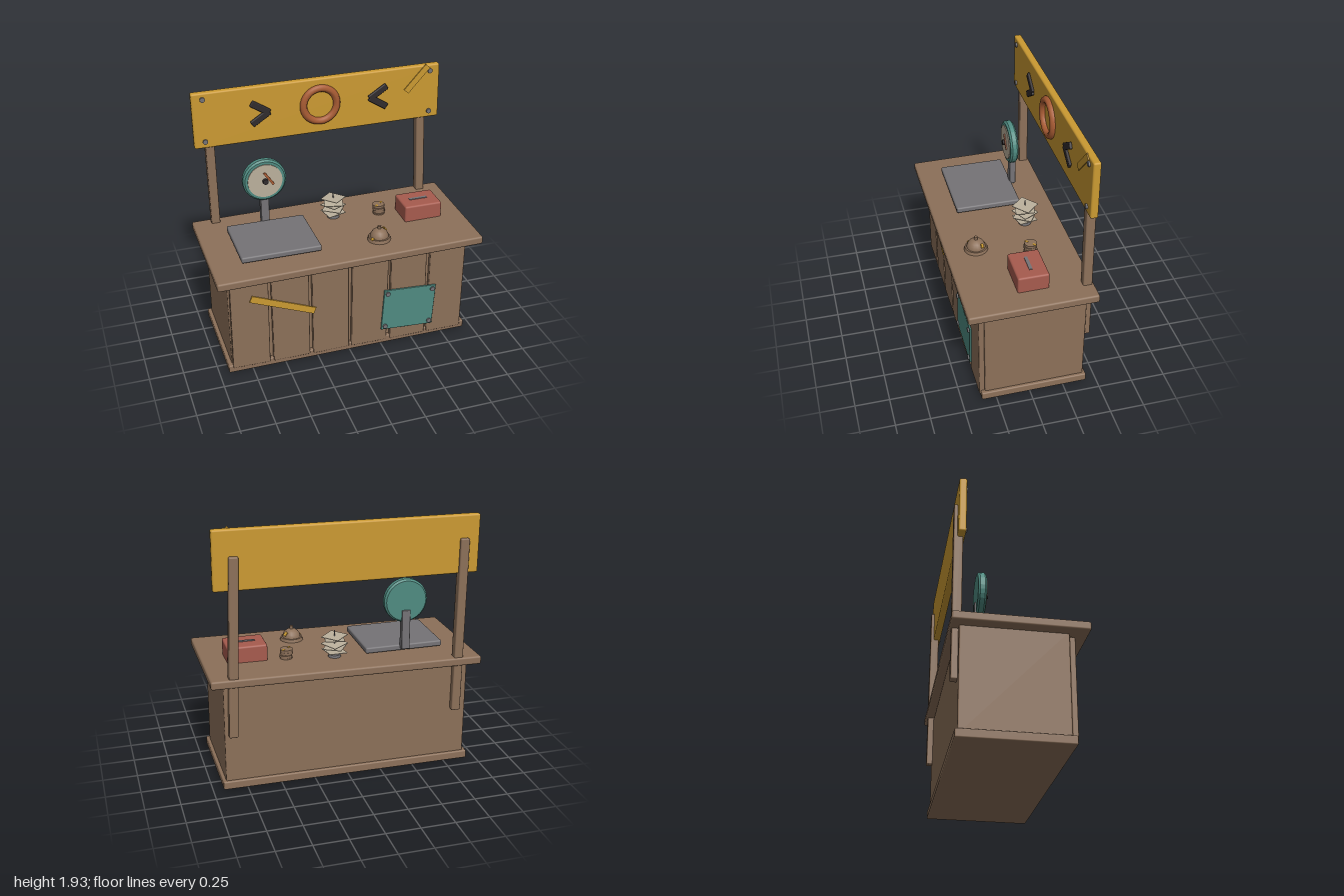
import * as THREE from 'three';
import { RoundedBoxGeometry } from 'three/addons/geometries/RoundedBoxGeometry.js';

export function createModel() {
  const root = new THREE.Group();
  root.name = 'marketStall';

  const mat = (name, color) => {
    const m = new THREE.MeshStandardMaterial({ color });
    m.name = name;
    return m;
  };
  const wood = mat('wood', 0x8c7059);
  const yellow = mat('yellow paint', 0xcb9a32);
  const teal = mat('teal paint', 0x4f8b81);
  const red = mat('red tin', 0xa75b4e);
  const orange = mat('orange paint', 0xa95c34);
  const grey = mat('grey metal', 0x757376);
  const cream = mat('cream paper', 0xbbb09c);
  const dark = mat('dark paint', 0x302b2d);

  const add = (name, geo, material, pos, rot = [0, 0, 0], parent = root) => {
    const m = new THREE.Mesh(geo, material);
    m.name = name;
    m.position.set(...pos);
    m.rotation.set(...rot);
    parent.add(m);
    return m;
  };
  // Box with softened edges
  const box = (name, material, size, pos, rot, bevel = 0.01, parent = root) =>
    add(name, new RoundedBoxGeometry(...size, 2, Math.min(bevel, Math.min(...size) * 0.45)), material, pos, rot, parent);
  const plate = (name, material, size, pos, rot, parent = root) =>
    add(name, new THREE.BoxGeometry(...size), material, pos, rot, parent);
  // Disc whose axis points to the front
  const disc = (name, material, r, depth, pos, sides = 12, parent = root) =>
    add(name, new THREE.CylinderGeometry(r, r, depth, sides), material, pos, [Math.PI / 2, 0, 0], parent);
  const group = (name, pos, rot = [0, 0, 0]) => {
    const g = new THREE.Group();
    g.name = name;
    g.position.set(...pos);
    g.rotation.set(...rot);
    root.add(g);
    return g;
  };

  // Counter: base, body and slightly crooked top
  box('base', wood, [1.86, 0.062, 0.78], [0, 0.05, -0.03], [0.008, 0, 0.006]);
  box('body', wood, [1.81, 0.76, 0.73], [0, 0.43, -0.035], [0, 0, 0.005]);
  box('counterTop', wood, [1.99, 0.062, 0.918], [0, 0.836, 0], [0.012, 0, 0.015], 0.014);

  // Front planks with uneven lean
  const leans = [-0.006, 0.004, 0.008, -0.005, 0.007, -0.008];
  leans.forEach((lean, i) => {
    box('frontPlank', wood, [0.278, 0.722, 0.04], [-0.7575 + i * 0.303, 0.412, 0.35], [0, 0, lean], 0.008);
  });

  // Posts behind the counter
  box('leftPost', wood, [0.066, 1.31, 0.066], [0.826, 1.095, -0.412], [0, 0, 0.033]);
  box('rightPost', wood, [0.066, 1.31, 0.066], [-0.825, 1.095, -0.412], [0, 0, 0.012]);

  // Sign board, built around its own centre
  const sign = group('sign', [0, 1.713, -0.393], [0, 0, 0.01]);
  box('signBoard', yellow, [1.892, 0.424, 0.054], [0, 0, 0], [0, 0, 0], 0.013, sign);
  add('signRing', new THREE.TorusGeometry(0.128, 0.028, 8, 32), orange, [0, 0.012, 0.034], [0, 0, 0], sign);
  for (const s of [-1, 1]) {
    for (const y of [0.165, -0.16]) disc('signBolt', grey, 0.019, 0.016, [s * 0.867, y, 0.031], 12, sign);
    // Two bars meeting in an arrow that points to the middle
    for (const v of [-1, 1]) {
      box('chevronBar', dark, [0.16, 0.05, 0.022], [s * 0.452, 0.01 + v * 0.039, 0.035], [0, 0, s * v * 0.57], 0.008, sign);
    }
  }
  plate('signTape', yellow, [0.25, 0.047, 0.008], [0.762, 0.114, 0.033], [0, 0, 0.82], sign);

  // Tape and bolted patch on the counter front
  plate('frontTape', yellow, [0.51, 0.052, 0.009], [-0.513, 0.535, 0.375], [0, 0, -0.386]);
  const patch = group('patch', [0.455, 0.318, 0.377], [0, 0, -0.06]);
  box('patchPlate', teal, [0.412, 0.345, 0.014], [0, 0, 0], [0, 0, 0], 0.004, patch);
  for (const x of [-0.178, 0.178]) {
    for (const y of [-0.142, 0.142]) disc('patchBolt', grey, 0.018, 0.014, [x, y, 0.011], 12, patch);
  }

  // Weighing scale
  box('scalePlate', grey, [0.59, 0.045, 0.49], [-0.483, 0.892, 0.03], [0, 0, 0], 0.012);
  box('scalePost', grey, [0.064, 0.3, 0.048], [-0.48, 1.04, -0.228], [0, 0, 0], 0.006);
  const dial = group('scaleDial', [-0.48, 1.26, -0.21]);
  const rim = [[0, -0.03], [0.15, -0.03], [0.163, -0.017], [0.163, 0.017], [0.15, 0.03], [0, 0.03]]
    .map(([x, y]) => new THREE.Vector2(x, y));
  const rimMesh = add('dialCase', new THREE.LatheGeometry(rim, 32), teal, [0, 0, 0], [Math.PI / 2, 0, 0], dial);
  rimMesh.geometry = rimMesh.geometry.toNonIndexed();
  rimMesh.geometry.computeVertexNormals();
  disc('dialFace', cream, 0.13, 0.008, [0, 0, 0.032], 32, dial);
  plate('dialNeedle', orange, [0.12, 0.018, 0.008], [0.027, 0.018, 0.042], [0, 0, -0.97], dial);
  disc('dialHub', dark, 0.021, 0.022, [0, 0, 0.046], 12, dial);

  // Paper spike with loose slips
  const spike = group('paperSpike', [0.045, 0.86, -0.19]);
  add('spikeFoot', new THREE.CylinderGeometry(0.044, 0.048, 0.03, 16), grey, [0, 0.015, 0], [0, 0, 0], spike);
  add('spikeRod', new THREE.CylinderGeometry(0.004, 0.007, 0.2, 8), grey, [0, 0.11, 0], [0, 0, 0], spike);
  [0.2, 1.0, 0.55, 1.35, 0.75].forEach((turn, i) => {
    plate('paperSlip', cream, [0.14, 0.004, 0.14], [0, 0.052 + i * 0.029, 0],
      [0.06 * Math.sin(i * 2.4), turn, 0.07 * Math.cos(i * 2.1)], spike);
  });

  // Counter bell
  const bell = group('bell', [0.262, 0.862, 0.235]);
  add('bellFoot', new THREE.CylinderGeometry(0.08, 0.088, 0.03, 20), wood, [0, 0.015, 0], [0, 0, 0], bell);
  add('bellDome', new THREE.SphereGeometry(0.07, 14, 6, 0, Math.PI * 2, 0, Math.PI / 2), wood, [0, 0.024, 0], [0, 0, 0], bell);
  add('bellButton', new THREE.CylinderGeometry(0.013, 0.013, 0.026, 10), wood, [0, 0.102, 0], [0, 0, 0], bell);
  plate('bellChip', yellow, [0.034, 0.008, 0.022], [0.053, 0.065, -0.034], [-0.3, 0.5, -0.8], bell);
  plate('bellChip', yellow, [0.024, 0.008, 0.022], [-0.064, 0.032, 0.036], [0, 0.5, 0.3], bell);

  // Coin stack
  for (let i = 0; i < 4; i++) {
    add('coin', new THREE.CylinderGeometry(0.046, 0.046, 0.018, 16), wood,
      [0.392 + 0.004 * Math.sin(i * 2), 0.875 + i * 0.021, -0.135 + 0.003 * Math.cos(i * 3)]);
    add('coinCore', new THREE.CylinderGeometry(0.041, 0.041, 0.006, 16), wood, [0.392, 0.885 + i * 0.019, -0.135]);
  }
  for (const s of [-1, 1]) plate('coinChip', yellow, [0.026, 0.004, 0.016], [0.392 + s * 0.025, 0.947, -0.135 - s * 0.022], [0, 0.7, 0]);

  // Cash box with slot
  box('cashBox', red, [0.292, 0.135, 0.225], [0.676, 0.932, -0.038], [0, 0, 0], 0.014);
  plate('cashSlot', grey, [0.14, 0.008, 0.024], [0.672, 1.0, -0.038]);

  return root;
}
